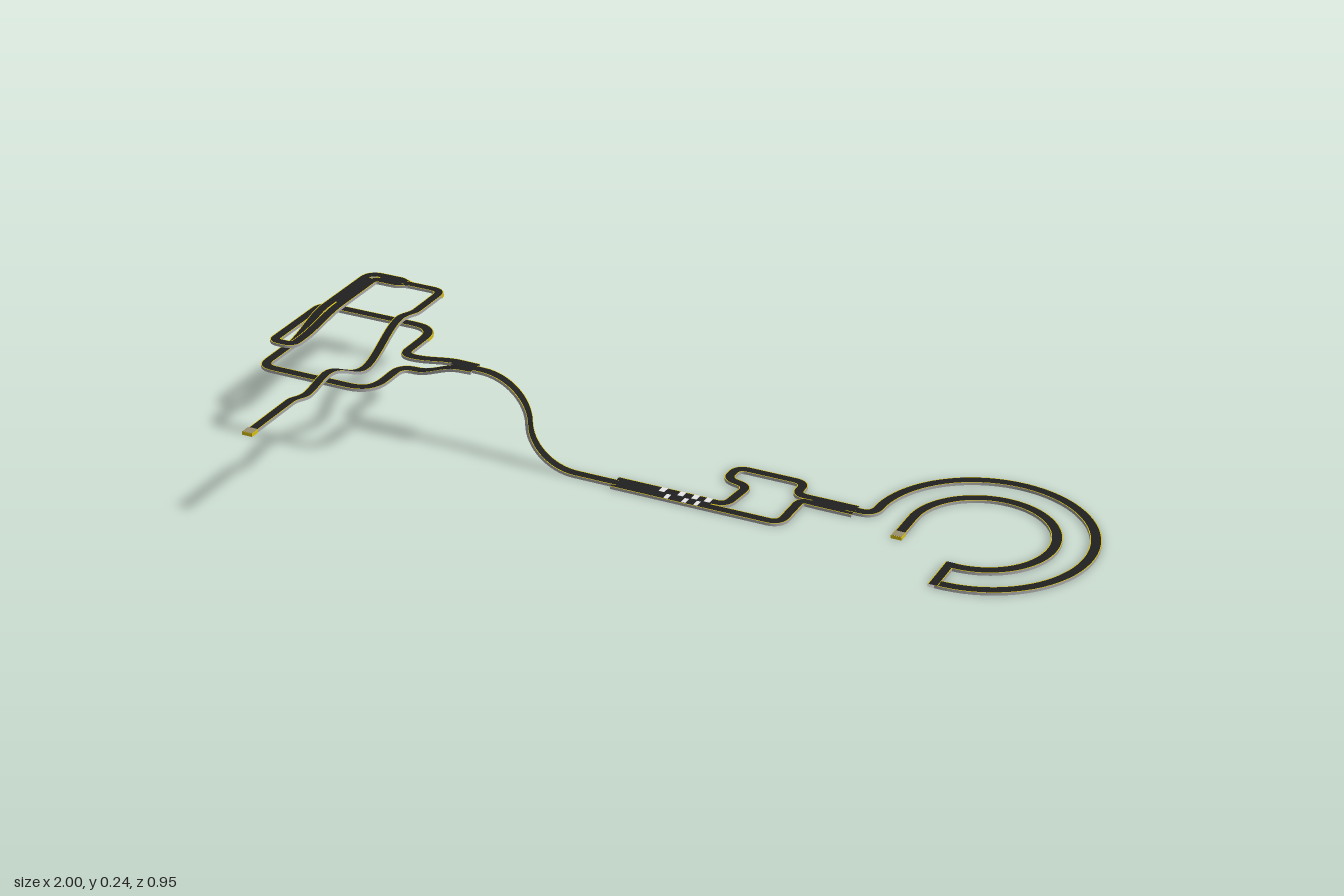
import * as THREE from 'three';

const material = (name, color, side = THREE.FrontSide) => {
  const m = new THREE.MeshStandardMaterial({ color, side });
  m.name = name;
  return m;
};
const asphalt = material('asphalt', 0x202020);
const yellow = material('edge yellow', 0xd8c010);
const grey = material('underside grey', 0xa8a8a8, THREE.DoubleSide);
const white = material('grid white', 0xf8f8f8);
const pale = material('end plate', 0x9a9070);

const GROUND = 0.0035; // height of the slab's middle on the ground
const THICK = 0.0035;  // half the slab thickness
const LINE = 0.0021;   // width of the yellow edge lines

// Waypoints [x, z, y, corner radius] become a path with rounded corners and eased heights
function route(waypoints) {
  const w = waypoints.map(([x, z, y = GROUND, r = 0]) => ({ p: new THREE.Vector3(x, y, z), r }));
  const points = [w[0].p.clone()];
  const straightTo = (end) => {
    const start = points[points.length - 1];
    const n = Math.abs(start.y - end.y) > 1e-4 ? 12 : 1;
    for (let i = 1; i <= n; i++) {
      const q = start.clone().lerp(end, i / n);
      q.y = THREE.MathUtils.lerp(start.y, end.y, THREE.MathUtils.smoothstep(i / n, 0, 1));
      points.push(q);
    }
  };
  for (let k = 1; k < w.length - 1; k++) {
    const { p, r } = w[k];
    if (!r) { straightTo(p); continue; }
    const toward = (q) => {
      const d = q.clone().sub(p).setY(0);
      return p.clone().addScaledVector(d.normalize(), r);
    };
    const a = toward(w[k - 1].p), b = toward(w[k + 1].p);
    straightTo(a);
    points.push(...new THREE.QuadraticBezierCurve3(a, p, b).getPoints(8).slice(1));
  }
  straightTo(w[w.length - 1].p);
  return points;
}

// Circular run in plan
function arc(cx, cz, r, from, to, n = 56) {
  return Array.from({ length: n + 1 }, (_, i) => {
    const a = from + (to - from) * i / n;
    return new THREE.Vector3(cx + r * Math.cos(a), GROUND, cz + r * Math.sin(a));
  });
}

// Sweep one edge of the cross-section, from [u, v] to [u, v], along a path
function strip(name, points, a, b, mat) {
  const pos = [], index = [], up = new THREE.Vector3(0, 1, 0);
  points.forEach((p, i) => {
    const t = points[Math.min(i + 1, points.length - 1)].clone()
      .sub(points[Math.max(i - 1, 0)]).normalize();
    const side = t.clone().cross(up).normalize();
    const normal = side.clone().cross(t);
    for (const [u, v] of [a, b]) {
      const q = p.clone().addScaledVector(side, u).addScaledVector(normal, v);
      pos.push(q.x, q.y, q.z);
    }
    if (i) {
      const k = 2 * i - 2;
      index.push(k, k + 1, k + 2, k + 1, k + 3, k + 2);
    }
  });
  const g = new THREE.BufferGeometry();
  g.setAttribute('position', new THREE.Float32BufferAttribute(pos, 3));
  g.setIndex(index);
  g.computeVertexNormals();
  const mesh = new THREE.Mesh(g, mat);
  mesh.name = name;
  return mesh;
}

// A slab of road: dark top, yellow edge lines, grey sides and underside
function road(name, raw, width = 0.026) {
  const points = raw.filter((p, i) => !i || p.distanceTo(raw[i - 1]) > 1e-5);
  const h = width / 2, inner = h - LINE, t = THICK;
  const group = new THREE.Group();
  group.name = name;
  group.add(
    strip('surface', points, [-inner, t], [inner, t], asphalt),
    strip('rightLine', points, [inner, t], [h, t], yellow),
    strip('leftLine', points, [-h, t], [-inner, t], yellow),
    strip('rightSide', points, [h, t], [h, -t], grey),
    strip('underside', points, [h, -t], [-h, -t], grey),
    strip('leftSide', points, [-h, -t], [-h, t], grey),
  );
  return group;
}

// Yellow facing on one side of a bend: side is 1 for right, -1 for left
function bendFacing(points, side) {
  const u = side * 0.0135, v = side * 0.004;
  return strip('bendFacing', points, [u, v], [u, -v], yellow);
}

function box(name, sx, sy, sz, x, y, z, m) {
  const mesh = new THREE.Mesh(new THREE.BoxGeometry(sx, sy, sz), m);
  mesh.name = name;
  mesh.position.set(x, y, z);
  return mesh;
}

export function createModel() {
  const model = new THREE.Group();
  model.name = 'raceTrack';
  const TOP = 0.217;

  // Ramp: an S made of two quarter ellipses
  const ramp = [new THREE.Vector3(-0.47, TOP, -0.065)];
  const mid = (TOP + GROUND) / 2, half = (TOP - GROUND) / 2;
  for (let i = 0; i <= 16; i++) {
    const a = Math.PI / 2 * (1 - i / 16);
    ramp.push(new THREE.Vector3(-0.45 + 0.12 * Math.cos(a), mid + half * Math.sin(a), -0.065));
  }
  for (let i = 1; i <= 16; i++) {
    const a = Math.PI / 2 * i / 16;
    ramp.push(new THREE.Vector3(-0.21 - 0.12 * Math.cos(a), mid - half * Math.sin(a), -0.065));
  }
  ramp.push(new THREE.Vector3(-0.1, GROUND, -0.065));
  model.add(road('ramp', ramp));

  // Upper loops, leaving the ramp side by side and meeting again at the far corner
  const back = route([
    [-0.47, -0.077, TOP], [-0.52, -0.078, TOP], [-0.64, -0.078, 0.205],
    [-0.67, -0.078, 0.205, 0.028], [-0.67, -0.235, 0.205, 0.06],
    [-0.986, -0.235, 0.205, 0.03], [-0.986, -0.01, 0.205, 0.02],
    [-0.93, -0.01, 0.205, 0.02], [-0.93, -0.05, 0.205], [-0.93, -0.22, 0.221],
    [-0.93, -0.388, 0.221, 0.02], [-0.87, -0.388, 0.221], [-0.84, -0.4, 0.221],
  ]);
  model.add(road('backLoop', back));
  model.add(bendFacing(back.filter((p) => p.x > -0.74 && p.z < -0.15), 1));
  model.add(bendFacing(back.filter((p) => p.x < -0.95 && p.z > -0.06), -1));
  model.add(road('frontLoop', route([
    [-0.47, -0.055, TOP], [-0.5, -0.053, TOP], [-0.62, -0.053, 0.187],
    [-0.66, -0.053, 0.187, 0.035], [-0.66, 0.088, 0.187, 0.06],
    [-0.956, 0.088, 0.187, 0.035], [-0.956, -0.04, 0.187], [-0.956, -0.2, 0.221],
    [-0.956, -0.413, 0.221, 0.03], [-0.87, -0.413, 0.221], [-0.84, -0.4, 0.221],
  ])));

  // Wavy straight crossing over both loops
  const wavy = route([
    [-0.85, -0.4, 0.221], [-0.745, -0.4, 0.221, 0.03], [-0.745, -0.28, 0.221],
    [-0.745, -0.195, 0.235], [-0.745, -0.03, 0.176], [-0.745, 0.14, 0.235],
    [-0.745, 0.225, 0.221], [-0.745, 0.3, 0.235], [-0.745, 0.474, 0.235],
  ]);
  model.add(road('wavyStraight', wavy, 0.024));
  model.add(bendFacing(wavy.filter((p) => p.x > -0.757 && p.z < -0.36), -1));

  // Ground lanes: side by side, then apart, then together again
  model.add(road('backLane', route([
    [-0.11, -0.079], [0.165, -0.079, GROUND, 0.025], [0.175, -0.18, GROUND, 0.025],
    [0.115, -0.195, GROUND, 0.025], [0.115, -0.255, GROUND, 0.028],
    [0.288, -0.255, GROUND, 0.03], [0.288, -0.195, GROUND, 0.025],
    [0.33, -0.194], [0.44, -0.194],
  ]), 0.025));
  model.add(road('frontLane', route([
    [-0.11, -0.054], [0.31, -0.054, GROUND, 0.03],
    [0.31, -0.174, GROUND, 0.02], [0.35, -0.172], [0.44, -0.172],
  ]), 0.025));

  // Dark seams where two lanes run as one wide road: start and end of each
  const seams = [
    [[-0.112, -0.0665], [0.135, -0.0665]],
    [[0.335, -0.183], [0.44, -0.183]],
    [[-0.53, -0.0655, TOP], [-0.46, -0.0655, TOP]],
    [[-0.943, -0.23, 0.221], [-0.943, -0.385, 0.221]],
    [[-0.92, -0.4005, 0.221], [-0.85, -0.4005, 0.221]],
  ];
  for (const ends of seams) {
    model.add(strip('laneSeam', route(ends), [-0.008, 0.0041], [0.008, 0.0041], asphalt));
  }

  // Starting grid painted across the two lanes
  for (const [x, z, w] of [[0.008, -0.079, 0.014], [0.03, -0.054, 0.01], [0.055, -0.079, 0.014],
    [0.075, -0.054, 0.01], [0.09, -0.079, 0.014], [0.105, -0.054, 0.01], [0.122, -0.079, 0.014]]) {
    model.add(box('gridMark', w, 0.001, 0.02, x, 0.0078, z, white));
  }

  // Double ring at the end of the ground section
  const cx = 0.735, cz = -0.21, R = 0.252, r = 0.166, end = Math.PI * 2.515;
  model.add(road('outerRing', [
    ...route([[0.42, -0.185], [0.478, -0.185, GROUND, 0.025], [cx - R, cz]]),
    ...arc(cx, cz, R, Math.PI, end),
  ]));
  model.add(road('ringLink', route([[0.72, 0.054], [0.72, -0.056]]), 0.024));
  model.add(road('innerRing', [
    ...arc(cx, cz, r, end, Math.PI),
    new THREE.Vector3(cx - r, GROUND, -0.11),
  ]));

  // Blocks that close the two open ends
  for (const [x, y, z] of [[-0.745, 0.236, 0.462], [cx - r, 0.0042, -0.122]]) {
    model.add(box('endBlock', 0.026, 0.008, 0.025, x, y, z, yellow));
    model.add(box('endPlate', 0.024, 0.001, 0.023, x, y + 0.0042, z, pale));
  }
  return model;
}
